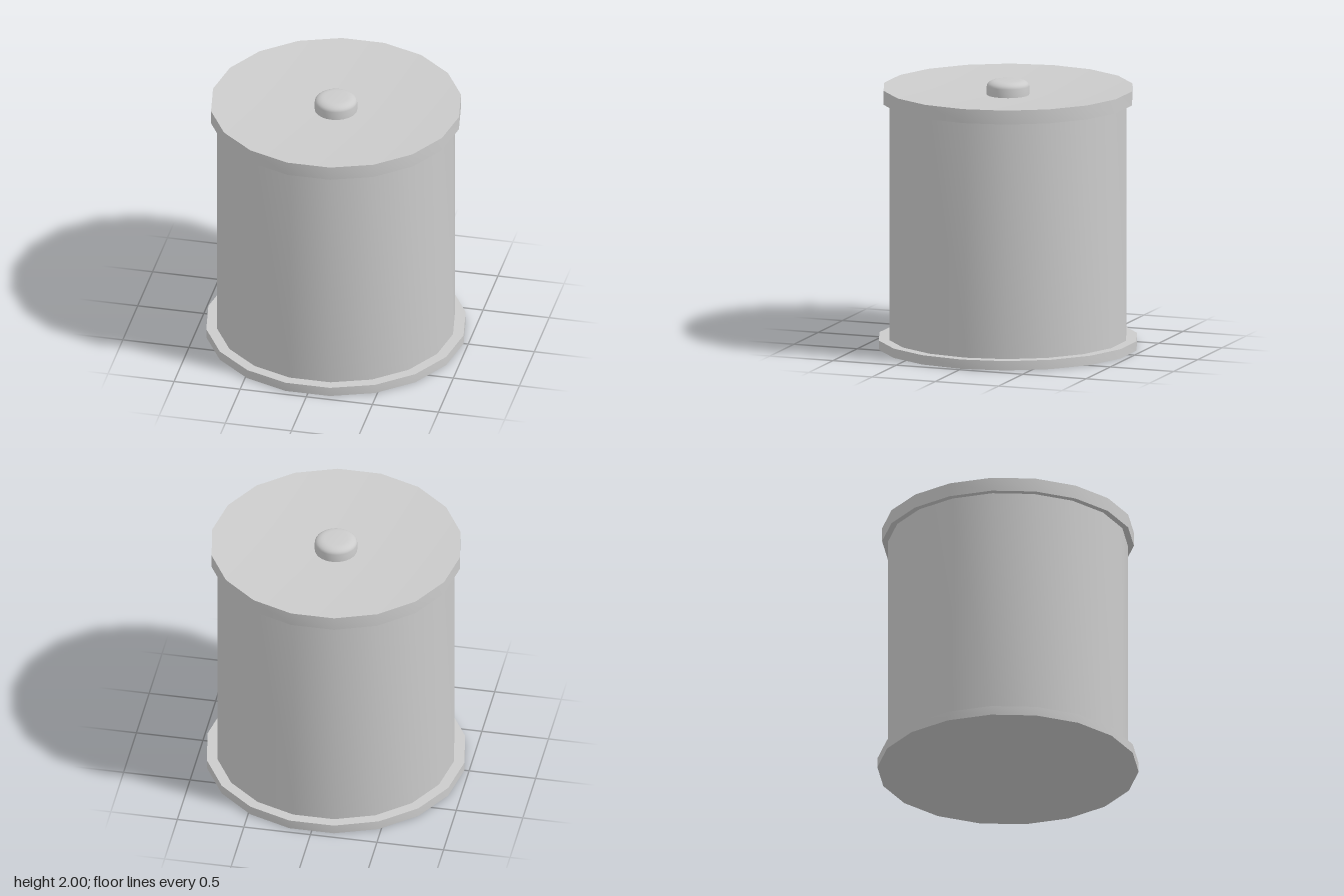
import * as THREE from 'three';
import { toCreasedNormals } from 'three/addons/utils/BufferGeometryUtils.js';

const SIDES = 18;

export function createModel() {
  const group = new THREE.Group();
  const material = new THREE.MeshStandardMaterial({ color: 0xcccccc });

  // Turned part from [radius, y] pairs, listed bottom to top, with a corner on +x
  function turned(name, profile, sides = SIDES) {
    const points = profile.map(([r, y]) => new THREE.Vector2(r, y));
    const lathe = new THREE.LatheGeometry(points, sides, Math.PI / 2);
    const mesh = new THREE.Mesh(toCreasedNormals(lathe, 0.6), material);
    mesh.name = name;
    group.add(mesh);
  }

  // Flat foot plate
  turned('base', [[0, 0], [0.965, 0], [0.965, 0.07], [0, 0.07]]);

  // Straight drum wall
  turned('body', [[0.885, 0.07], [0.885, 1.84]]);

  // Lid with a shallow dished top
  turned('lid', [[0, 1.84], [0.93, 1.84], [0.93, 1.945], [0, 1.88]]);

  // Round knob with a softened top edge
  const knob = [[0.157, 1.87], [0.157, 1.955]];
  for (let i = 1; i <= 6; i++) {
    const a = (i / 6) * Math.PI / 2;
    knob.push([0.087 + 0.07 * Math.cos(a), 1.955 + 0.043 * Math.sin(a)]);
  }
  knob.push([0, 2]);
  turned('knob', knob, 32);

  return group;
}
